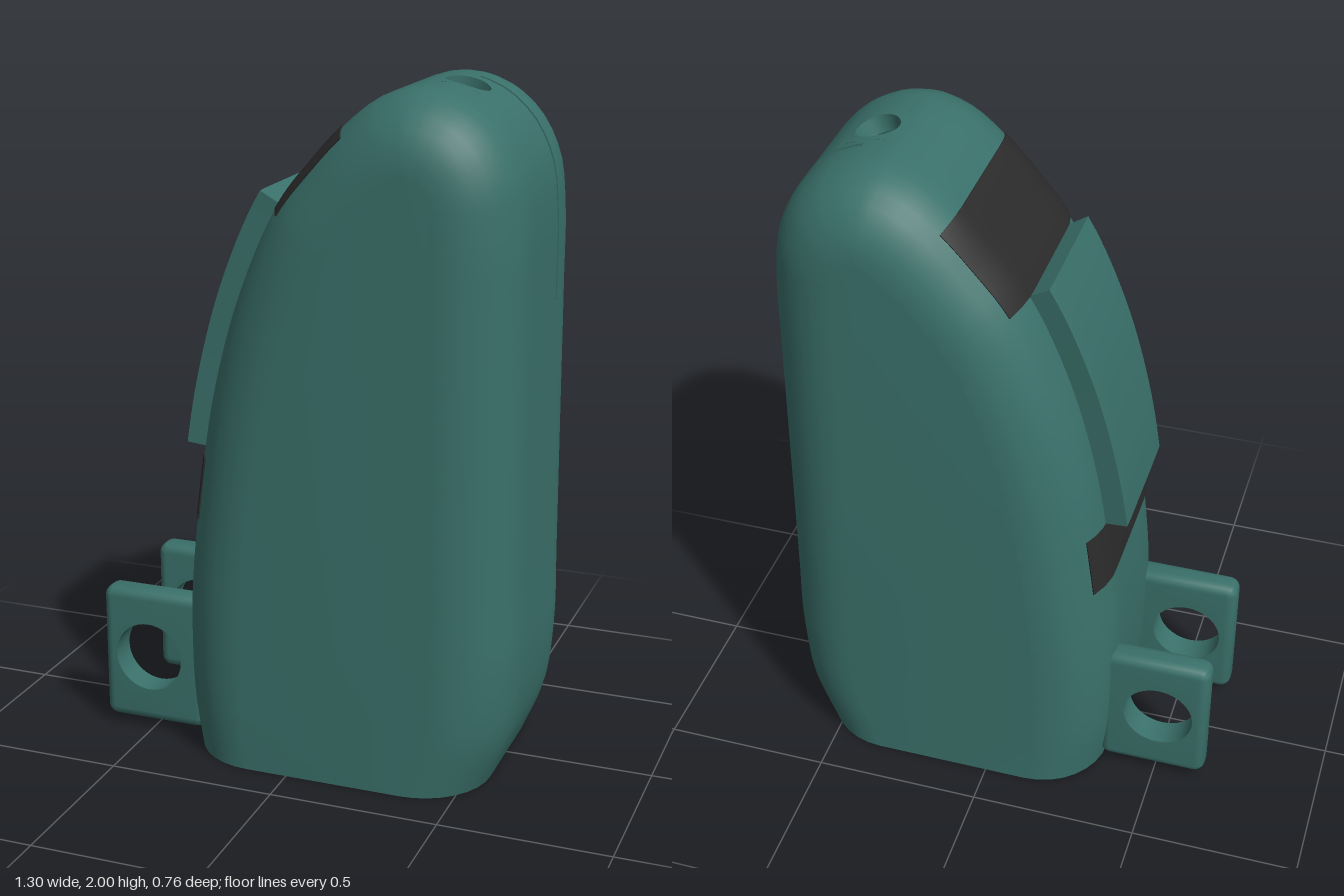
import * as THREE from 'three';
import { toCreasedNormals } from 'three/addons/utils/BufferGeometryUtils.js';

const green = new THREE.MeshStandardMaterial({ color: 0x3a706a });
green.name = 'dark teal';
const dark = new THREE.MeshStandardMaterial({ color: 0x2b2b2b });
dark.name = 'charcoal';

// Side profile, from the bottom left over the top to the bottom right
const profile = new THREE.CatmullRomCurve3([
  [-0.335, 0], [-0.358, 0.15], [-0.365, 0.35], [-0.36, 0.52], [-0.33, 0.8], [-0.283, 1.1],
  [-0.2, 1.4], [-0.085, 1.655], [0.02, 1.79], [0.11, 1.887], [0.21, 1.965], [0.33, 2.0],
  [0.45, 1.975], [0.55, 1.9], [0.615, 1.78], [0.635, 1.63], [0.638, 1.4], [0.641, 1.0],
  [0.644, 0.6], [0.645, 0.37], [0.622, 0.16], [0.56, 0],
].map(([x, y]) => new THREE.Vector3(x, y, 0)), false, 'centripetal');
profile.arcLengthDivisions = 2000;
const LEN = profile.getLength();
const FLAT = 0.17, R = 0.21, WALL = 0.05, WMAX = FLAT + R * Math.PI / 2;

// Point on the rounded body: u along the profile, w across it, d below the surface
function P(u, w, d) {
  const s = Math.min(1, Math.max(0, u / LEN));
  const p = profile.getPointAt(s), t = profile.getTangentAt(s);
  const n = new THREE.Vector3(-t.y, t.x * Math.min(1, p.y / 0.3), 0).normalize();
  const a = Math.max(0, Math.abs(w) - FLAT) / R;
  p.addScaledVector(n, -(d + (R - d) * (1 - Math.cos(a))));
  p.z = Math.sign(w) * (Math.min(Math.abs(w), FLAT) + (R - d) * Math.sin(a));
  return p;
}

// First place along the profile that passes a test
function findU(test) {
  for (let i = 0; i <= 2000; i++) if (test(profile.getPointAt(i / 2000))) return (i / 2000) * LEN;
  return LEN;
}

function quad(out, a, b, c, d, flip = false) {
  if (flip) [b, d] = [d, b];
  for (const v of [a, b, c, a, c, d]) out.push(v.x, v.y, v.z);
}

// Flat filled shape at a given z
function face(out, shape, z, flip) {
  const g = new THREE.ShapeGeometry(shape, 24), p = g.attributes.position, ix = g.index.array;
  for (let i = 0; i < ix.length; i += 3)
    for (const k of flip ? [0, 2, 1] : [0, 1, 2]) out.push(p.getX(ix[i + k]), p.getY(ix[i + k]), z);
}

function makeMesh(name, out, material) {
  const g = new THREE.BufferGeometry();
  g.setAttribute('position', new THREE.Float32BufferAttribute(out, 3));
  const m = new THREE.Mesh(toCreasedNormals(g, 0.6), material);
  m.name = name;
  return m;
}

// Hollow body, open below, with a round hole and a slot in the top
function body() {
  const out = [];
  const uh = findU(p => p.x > 0.4 && p.y > 1), hu = 0.09, hw = 0.085, hr = 0.065;
  const s0 = uh, s1 = findU(p => p.x > 0.5 && p.y < 1.37), wa = -0.117, wb = -0.103;
  const us = [uh - hu, uh + hu, s0, s1], ws = [wa, wb, -hw, hw];
  for (let i = 0; i <= 100; i++) us.push(LEN * i / 100);
  for (let i = 0; i <= 8; i++) for (const s of [-1, 1]) ws.push(s * (FLAT + (WMAX - FLAT) * i / 8));
  us.sort((a, b) => a - b);
  ws.sort((a, b) => a - b);
  const within = (v, a, b) => v > a && v < b;

  for (const d of [0, WALL]) {
    const flip = d > 0;
    for (let i = 0; i + 1 < us.length; i++) for (let j = 0; j + 1 < ws.length; j++) {
      const [u0, u1, w0, w1] = [us[i], us[i + 1], ws[j], ws[j + 1]];
      if (u1 - u0 < 1e-6) continue;
      const um = (u0 + u1) / 2, wm = (w0 + w1) / 2;
      if (within(um, s0, s1) && within(wm, wa, wb)) continue;
      if (within(um, uh - hu, uh + hu) && within(wm, -hw, hw)) continue;
      quad(out, P(u0, w0, d), P(u0, w1, d), P(u1, w1, d), P(u1, w0, d), flip);
    }
    // patch around the round hole
    const at = (k, f) => {
      const c = Math.cos(k * Math.PI / 16), s = Math.sin(k * Math.PI / 16);
      const m = Math.max(Math.abs(c), Math.abs(s));
      return P(uh + c * (hr + (hu / m - hr) * f), s * (hr + (hw / m - hr) * f), d);
    };
    for (let k = 0; k < 32; k++) for (const f of [0, 0.5])
      quad(out, at(k, f), at(k + 1, f), at(k + 1, f + 0.5), at(k, f + 0.5), flip);
  }

  // hole and slot walls
  const rim = (k, d) => P(uh + hr * Math.cos(k * Math.PI / 16), hr * Math.sin(k * Math.PI / 16), d);
  for (let k = 0; k < 32; k++) quad(out, rim(k, 0), rim(k, WALL), rim(k + 1, WALL), rim(k + 1, 0));
  for (let i = 0; i + 1 < us.length; i++) {
    const [u0, u1] = [us[i], us[i + 1]];
    if (u1 - u0 < 1e-6 || !within((u0 + u1) / 2, s0, s1)) continue;
    for (const w of [wa, wb]) quad(out, P(u0, w, 0), P(u0, w, WALL), P(u1, w, WALL), P(u1, w, 0), w === wb);
  }
  for (const u of [s0, s1]) quad(out, P(u, wa, 0), P(u, wb, 0), P(u, wb, WALL), P(u, wa, WALL), u === s1);

  // bottom rim
  for (const u of [0, LEN]) for (let j = 0; j + 1 < ws.length; j++) {
    const [w0, w1] = [ws[j], ws[j + 1]];
    if (w1 - w0 < 1e-6) continue;
    quad(out, P(u, w0, 0), P(u, w0, WALL), P(u, w1, WALL), P(u, w1, 0), u === LEN);
  }
  for (const s of [-1, 1]) {
    const [a, b] = s > 0 ? [WALL, 0] : [0, WALL], w = s * WMAX;
    quad(out, P(0, w, a), P(LEN, w, a), P(LEN, w, b), P(0, w, b));
  }

  // flat front and back, outside and inside
  const outline = us.filter((u, i) => i === 0 || u - us[i - 1] > 1e-6)
    .map(u => P(u, WMAX, 0)).map(p => new THREE.Vector2(p.x, p.y));
  const side = new THREE.Shape(outline);
  for (const s of [-1, 1]) {
    face(out, side, s * (FLAT + R), s < 0);
    face(out, side, s * (FLAT + R - WALL), s > 0);
  }
  return makeMesh('body', out, green);
}

// Curved slab lying on the body between two places on the profile
function slab(name, u0, u1, w, top, bottom, material) {
  const out = [], N = 20, M = 12;
  const U = i => u0 + (u1 - u0) * i / N, W = j => w * (2 * j / M - 1);
  for (let i = 0; i < N; i++) {
    for (let j = 0; j < M; j++) for (const d of [top, bottom])
      quad(out, P(U(i), W(j), d), P(U(i), W(j + 1), d), P(U(i + 1), W(j + 1), d), P(U(i + 1), W(j), d), d === bottom);
    for (const s of [-w, w])
      quad(out, P(U(i), s, top), P(U(i), s, bottom), P(U(i + 1), s, bottom), P(U(i + 1), s, top), s < 0);
  }
  for (const u of [u0, u1]) for (let j = 0; j < M; j++)
    quad(out, P(u, W(j), top), P(u, W(j), bottom), P(u, W(j + 1), bottom), P(u, W(j + 1), top), u === u1);
  return makeMesh(name, out, material);
}

// Lug with rounded edges and a round eye
function lug(name, z) {
  const out = [], x0 = -0.655, x1 = -0.325, y0 = 0.025, y1 = 0.45, C = 0.034, B = 0.03, T = 0.0425;
  const ring = (inset, zz) => {
    const pts = [];
    [[x1 - C, y1 - C], [x0 + C, y1 - C], [x0 + C, y0 + C], [x1 - C, y0 + C]].forEach(([x, y], q) => {
      for (let k = 0; k <= 6; k++) {
        const a = (q + k / 6) * Math.PI / 2;
        pts.push(new THREE.Vector3(x + (C - inset) * Math.cos(a), y + (C - inset) * Math.sin(a), z + zz));
      }
    });
    return pts;
  };
  const rings = [];
  for (const s of [-1, 1]) for (let k = 0; k <= 5; k++) {
    const a = (s < 0 ? 5 - k : k) / 5 * Math.PI / 2;
    rings.push(ring(B * (1 - Math.cos(a)), s * (T - B + B * Math.sin(a))));
  }
  for (let r = 0; r + 1 < rings.length; r++) rings[r].forEach((p, i) => {
    const n = (i + 1) % rings[r].length;
    quad(out, p, rings[r][n], rings[r + 1][n], rings[r + 1][i]);
  });
  const shape = new THREE.Shape(rings[0].map(p => new THREE.Vector2(p.x, p.y)));
  const eye = [];
  for (let k = 0; k < 40; k++) {
    const a = k * Math.PI / 20;
    eye.push(new THREE.Vector2(-0.505 + 0.107 * Math.cos(a), 0.238 + 0.107 * Math.sin(a)));
  }
  shape.holes.push(new THREE.Path(eye));
  face(out, shape, z + T, false);
  face(out, shape, z - T, true);
  eye.forEach((p, i) => {
    const q = eye[(i + 1) % 40], v = (e, s) => new THREE.Vector3(e.x, e.y, z + s * T);
    quad(out, v(p, -1), v(p, 1), v(q, 1), v(q, -1));
  });
  return makeMesh(name, out, green);
}

export function createModel() {
  const model = new THREE.Group();
  model.name = 'hollowHousing';
  const up = y => findU(p => p.y >= y);
  model.add(
    body(),
    slab('raisedPlate', up(0.92), up(1.655), 0.19, -0.065, 0.02, green),
    slab('upperBand', up(1.655), up(1.885), 0.292, -0.004, 0.004, dark),
    slab('lowerBand', up(0.73), up(0.92), 0.292, -0.004, 0.004, dark),
    lug('frontLug', 0.193),
    lug('backLug', -0.193),
  );
  return model;
}
